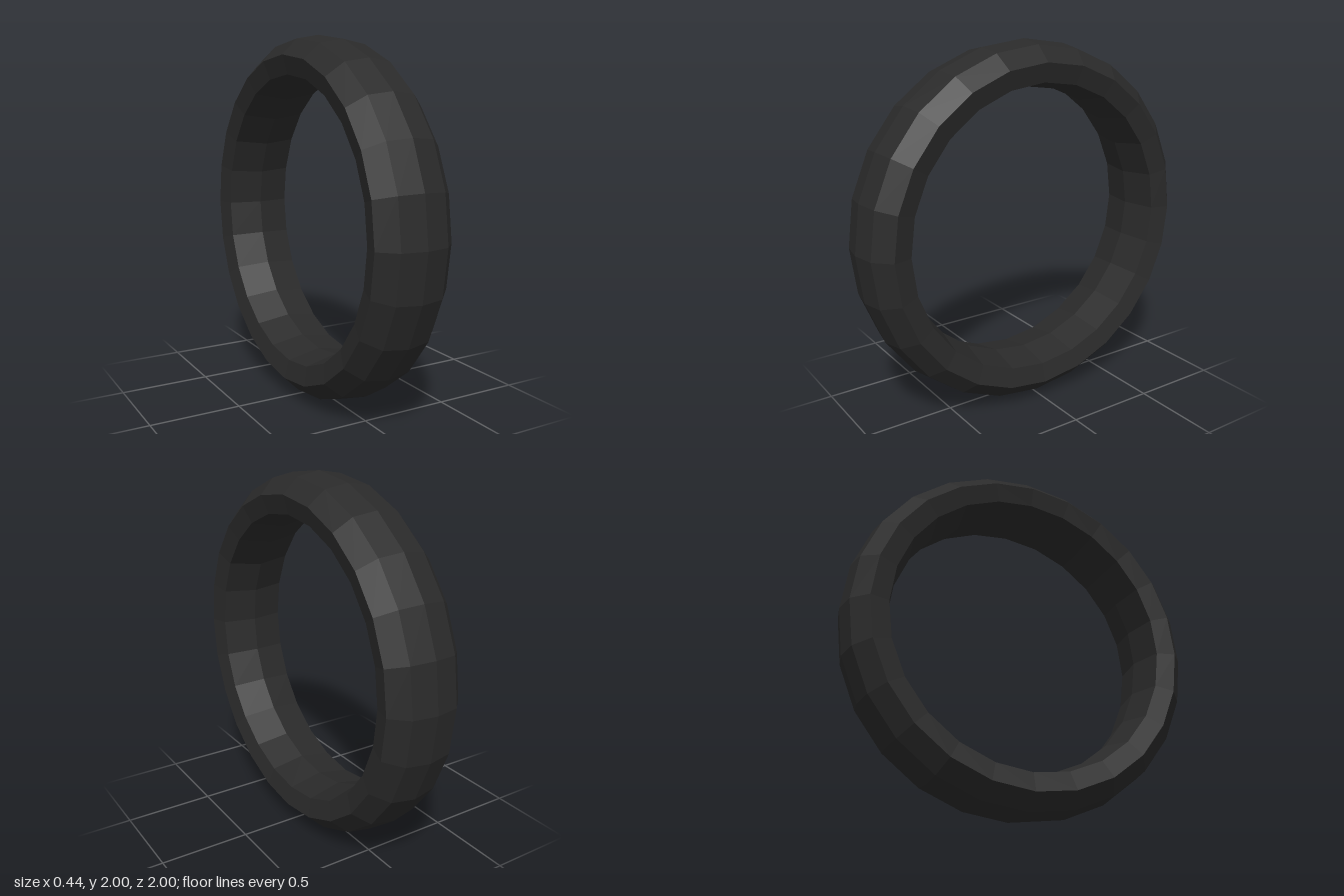
import * as THREE from 'three';

export function createModel() {
  const group = new THREE.Group();
  group.name = 'tyre';

  const rubber = new THREE.MeshStandardMaterial({ color: 0x2a2a2a, flatShading: true });
  rubber.name = 'black rubber';

  // Half cross-section as [radius, offset along the axle], crown to inner bead
  const half = [[1, 0], [0.977, 0.132], [0.893, 0.218], [0.79, 0.19], [0.752, 0]];

  // Closed section: inner bead, mirrored side, crown, other side, inner bead
  const mirrored = half.slice(1).reverse().map(([r, a]) => [r, -a]);
  const profile = [...mirrored, ...half].map(([r, a]) => new THREE.Vector2(r, a));

  // Revolve and lay the axle along x
  const geometry = new THREE.LatheGeometry(profile, 24);
  geometry.rotateZ(Math.PI / 2);
  geometry.translate(0, 1, 0);

  const tyre = new THREE.Mesh(geometry, rubber);
  tyre.name = 'tyreRing';
  group.add(tyre);
  return group;
}
